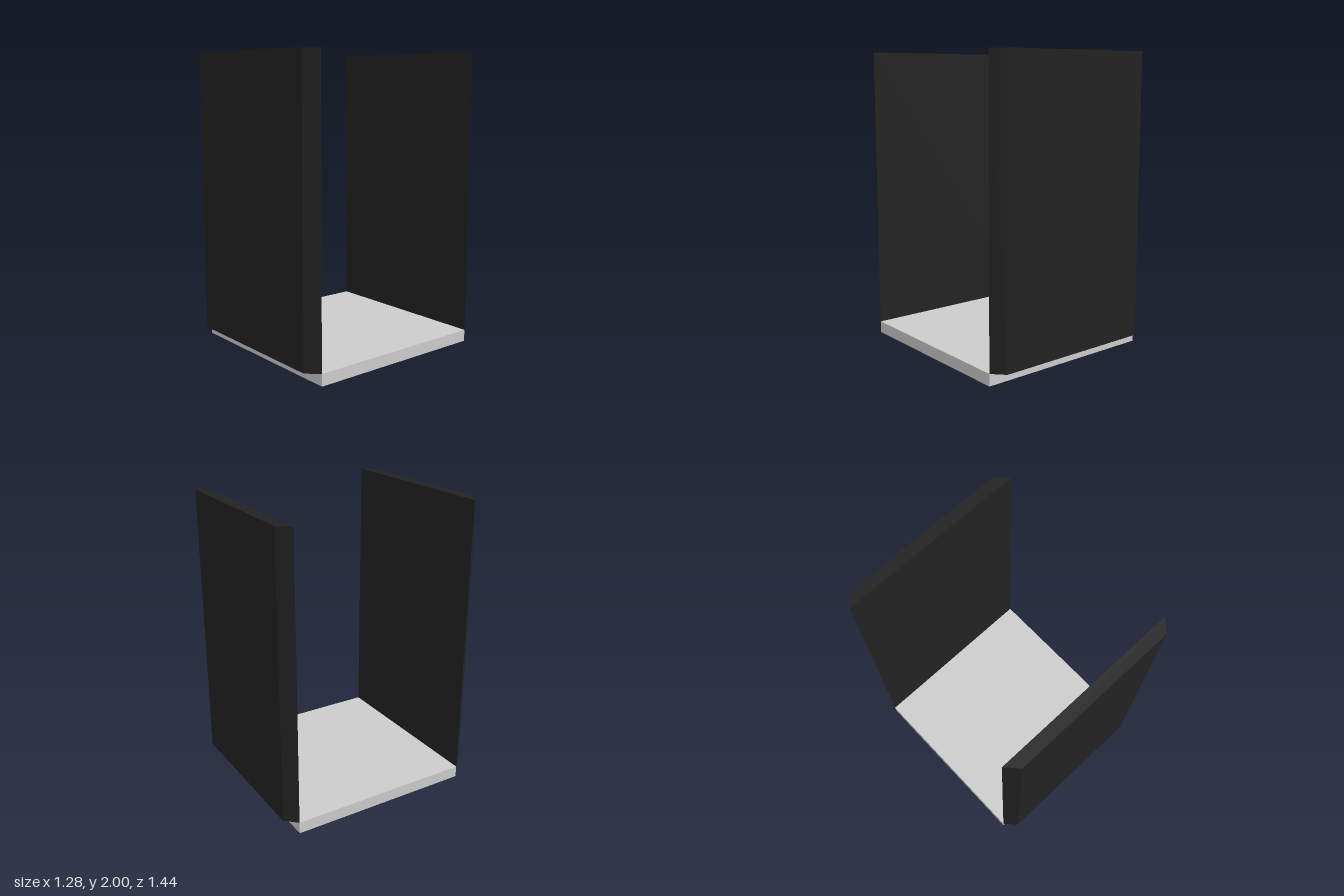
import * as THREE from 'three';

const HALF = 0.64;   // half width of the square base
const THICK = 0.08;  // thickness of base and walls
const HEIGHT = 2;

export function createModel() {
  const model = new THREE.Group();
  const grey = new THREE.MeshStandardMaterial({ color: 0xcccccc, flatShading: true });
  const dark = new THREE.MeshStandardMaterial({ color: 0x222222, flatShading: true });

  // Square base plate
  const base = new THREE.Mesh(new THREE.BoxGeometry(2 * HALF, THICK, 2 * HALF), grey);
  base.name = 'basePlate';
  base.position.y = THICK / 2;
  model.add(base);

  // Wall plan: a trapezoid with mitred ends, wide on the inner side
  const outer = HALF - 0.075;
  const plan = new THREE.Shape([
    new THREE.Vector2(-HALF, HALF),
    new THREE.Vector2(HALF, HALF),
    new THREE.Vector2(outer, HALF + THICK),
    new THREE.Vector2(-outer, HALF + THICK),
  ]);
  const wallGeometry = new THREE.ExtrudeGeometry(plan, { depth: HEIGHT - THICK, bevelEnabled: false });
  wallGeometry.rotateX(-Math.PI / 2).translate(0, THICK, 0);

  // Back wall, and the same wall turned round for the front
  [['backWall', 0], ['frontWall', Math.PI]].forEach(([name, angle]) => {
    const wall = new THREE.Mesh(wallGeometry, dark);
    wall.name = name;
    wall.rotation.y = angle;
    model.add(wall);
  });

  return model;
}
